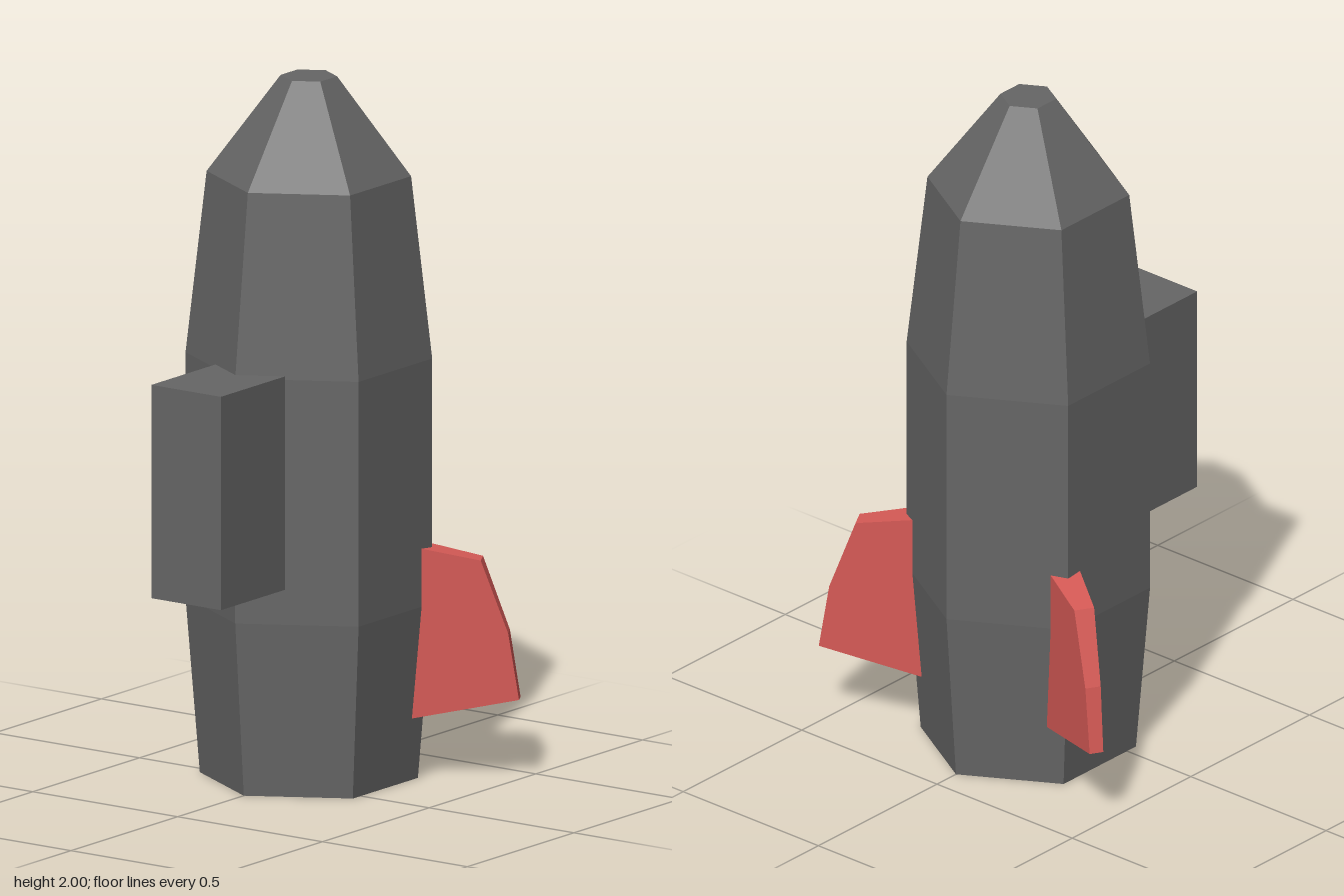
import * as THREE from 'three';

const hull = new THREE.MeshStandardMaterial({ color: 0x666666, flatShading: true });
const red = new THREE.MeshStandardMaterial({ color: 0xd65a56, flatShading: true });
const dark = new THREE.MeshStandardMaterial({ color: 0x404040, flatShading: true });

const AXIS_Z = -0.115; // the hull axis sits behind the centre

function addMesh(parent, name, geometry, material) {
  const flat = geometry.index ? geometry.toNonIndexed() : geometry;
  flat.computeVertexNormals();
  const mesh = new THREE.Mesh(flat, material);
  mesh.name = name;
  parent.add(mesh);
  return mesh;
}

// Radial fin: outline in radius and height, thinning towards the tip
function finGeometry() {
  const outline = [[0.2, 0.163], [0.59, 0.235], [0.56, 0.425], [0.484, 0.633], [0.2, 0.69]];
  const shape = new THREE.Shape(outline.map(([r, y]) => new THREE.Vector2(r, y)));
  const geometry = new THREE.ExtrudeGeometry(shape, { depth: 2, bevelEnabled: false });
  geometry.translate(0, 0, -1);
  const pos = geometry.attributes.position;
  for (let i = 0; i < pos.count; i++) {
    const half = THREE.MathUtils.mapLinear(pos.getX(i), 0.32, 0.59, 0.043, 0.02);
    pos.setZ(i, pos.getZ(i) * half);
  }
  return geometry;
}

export function createModel() {
  const model = new THREE.Group();
  model.name = 'rocket';

  const rocket = new THREE.Group();
  rocket.name = 'rocketBody';
  rocket.position.z = AXIS_Z;
  model.add(rocket);

  // Six-sided hull from nozzle rim to nose cap
  const profile = [[0.2, 0], [0.305, 0], [0.345, 0.5], [0.345, 1.2], [0.286, 1.72], [0.079, 2], [0, 2]];
  const points = profile.map(([r, y]) => new THREE.Vector2(r, y));
  addMesh(rocket, 'hull', new THREE.LatheGeometry(points, 6), hull);

  // Dark nozzle opening
  const opening = new THREE.CircleGeometry(0.2, 6, Math.PI / 2);
  opening.rotateX(Math.PI / 2);
  addMesh(rocket, 'nozzleOpening', opening, dark);

  // Two rear fins, on the hull's back corners
  for (const [name, degrees] of [['leftFin', 30], ['rightFin', 150]]) {
    const fin = addMesh(rocket, name, finGeometry(), red);
    fin.rotation.y = THREE.MathUtils.degToRad(degrees);
  }

  // Box mounted on the front corner
  const box = addMesh(model, 'frontBox', new THREE.BoxGeometry(0.24, 0.61, 0.4), hull);
  box.position.set(0, 0.905, 0.26);

  return model;
}
